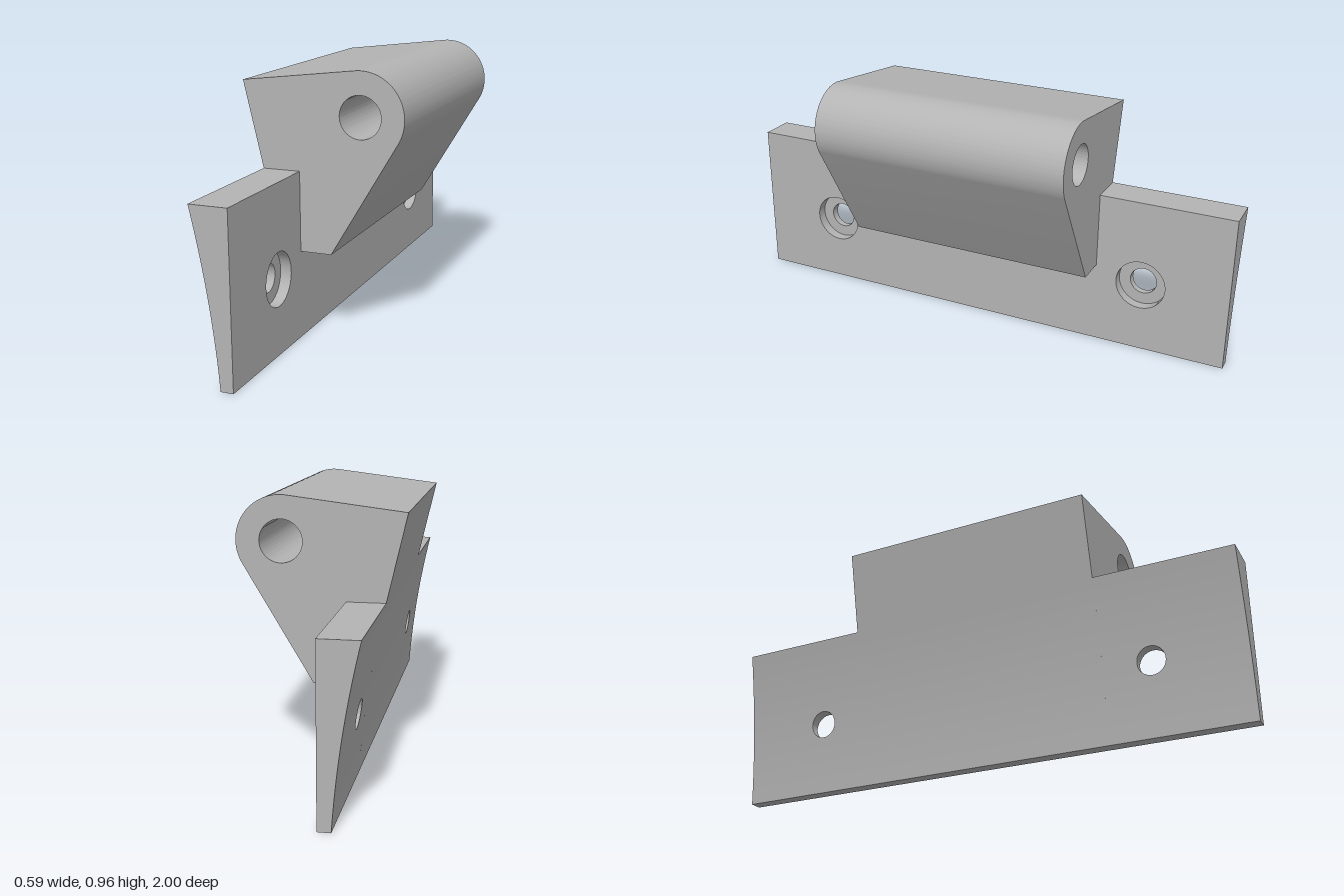
import * as THREE from 'three';
import { toCreasedNormals } from 'three/addons/utils/BufferGeometryUtils.js';

const FRONT_X = -0.086;   // flat face of the mounting plate
const PLATE_TOP = 0.6;
const BLOCK_Z = 0.49;     // half length of the pivot block

// Curved rear face: a parabola that runs on as a straight tangent
const backX = (y) => y <= 0.6
  ? -0.131 - 0.068 * y - 0.139 * y * y
  : -0.222 - 0.233 * (y - 0.6);

// Central block with its pivot lug, including the plate behind it
function pivotBlockGeometry() {
  const cx = 0.137, cy = 0.8, r = 0.156;
  const shape = new THREE.Shape();
  shape.moveTo(backX(0), 0);
  shape.lineTo(FRONT_X, 0);
  shape.lineTo(FRONT_X, 0.314);
  shape.lineTo(0.028, 0.314);
  shape.absarc(cx, cy, r, THREE.MathUtils.degToRad(-30.8), THREE.MathUtils.degToRad(97), false);
  shape.lineTo(-0.293, 0.905);
  for (let i = 16; i > 0; i--) shape.lineTo(backX(i * 0.0375), i * 0.0375);
  const hole = new THREE.Path();
  hole.absarc(cx, cy, 0.0745, 0, Math.PI * 2, true);
  shape.holes.push(hole);
  const geo = new THREE.ExtrudeGeometry(shape, { depth: 2 * BLOCK_Z, bevelEnabled: false, curveSegments: 40 });
  geo.translate(0, 0, -BLOCK_Z);
  return toCreasedNormals(geo, 0.4);
}

// Plate wing lofted around its counterbored screw hole; side is +1 or -1 in z
function wingGeometry(side) {
  const hz = 0.665, hy = 0.268, perSide = 24, backSteps = 8;
  const corners = [[BLOCK_Z, 0], [1, 0], [1, PLATE_TOP], [BLOCK_Z, PLATE_TOP]];
  const outline = [];
  corners.forEach(([z, y], k) => {
    const [z2, y2] = corners[(k + 1) % 4];
    for (let i = 0; i < perSide; i++) {
      const t = i / perSide;
      outline.push([z + (z2 - z) * t, y + (y2 - y) * t]);
    }
  });
  const circle = (r) => outline.map(([z, y]) => {
    const a = Math.atan2(y - hy, z - hz);
    return [hz + r * Math.cos(a), hy + r * Math.sin(a)];
  });
  const bore = circle(0.051), counterbore = circle(0.095);

  // Loops: rear face inwards, bore, counterbore floor, wall, front face outwards
  const loops = [];
  for (let s = 0; s <= backSteps; s++) {
    const t = s / backSteps;
    loops.push(outline.map(([z, y], i) => {
      const py = y + (bore[i][1] - y) * t;
      return [backX(py), py, z + (bore[i][0] - z) * t];
    }));
  }
  const flat = (pts, x) => loops.push(pts.map(([z, y]) => [x, y, z]));
  flat(bore, -0.126);
  flat(counterbore, -0.126);
  flat(counterbore, FRONT_X);
  flat(outline, FRONT_X);

  const n = outline.length, m = loops.length;
  const positions = loops.flat().flatMap(([x, y, z]) => [x, y, z * side]);
  const index = [];
  for (let j = 0; j < m; j++) {
    for (let i = 0; i < n; i++) {
      const j2 = (j + 1) % m, i2 = (i + 1) % n;
      const a = j * n + i, b = j * n + i2, c = j2 * n + i2, d = j2 * n + i;
      if (side > 0) index.push(a, b, c, a, c, d);
      else index.push(a, c, b, a, d, c);
    }
  }
  const geo = new THREE.BufferGeometry();
  geo.setAttribute('position', new THREE.Float32BufferAttribute(positions, 3));
  geo.setIndex(index);
  return toCreasedNormals(geo, 0.4);
}

export function createModel() {
  const group = new THREE.Group();
  group.name = 'hingeBracket';
  const grey = new THREE.MeshStandardMaterial({ color: 0xb4b4b4 });
  grey.name = 'grey';
  const add = (name, geometry) => {
    const mesh = new THREE.Mesh(geometry, grey);
    mesh.name = name;
    group.add(mesh);
  };
  add('pivotBlock', pivotBlockGeometry());
  add('frontPlateWing', wingGeometry(1));
  add('rearPlateWing', wingGeometry(-1));
  return group;
}
